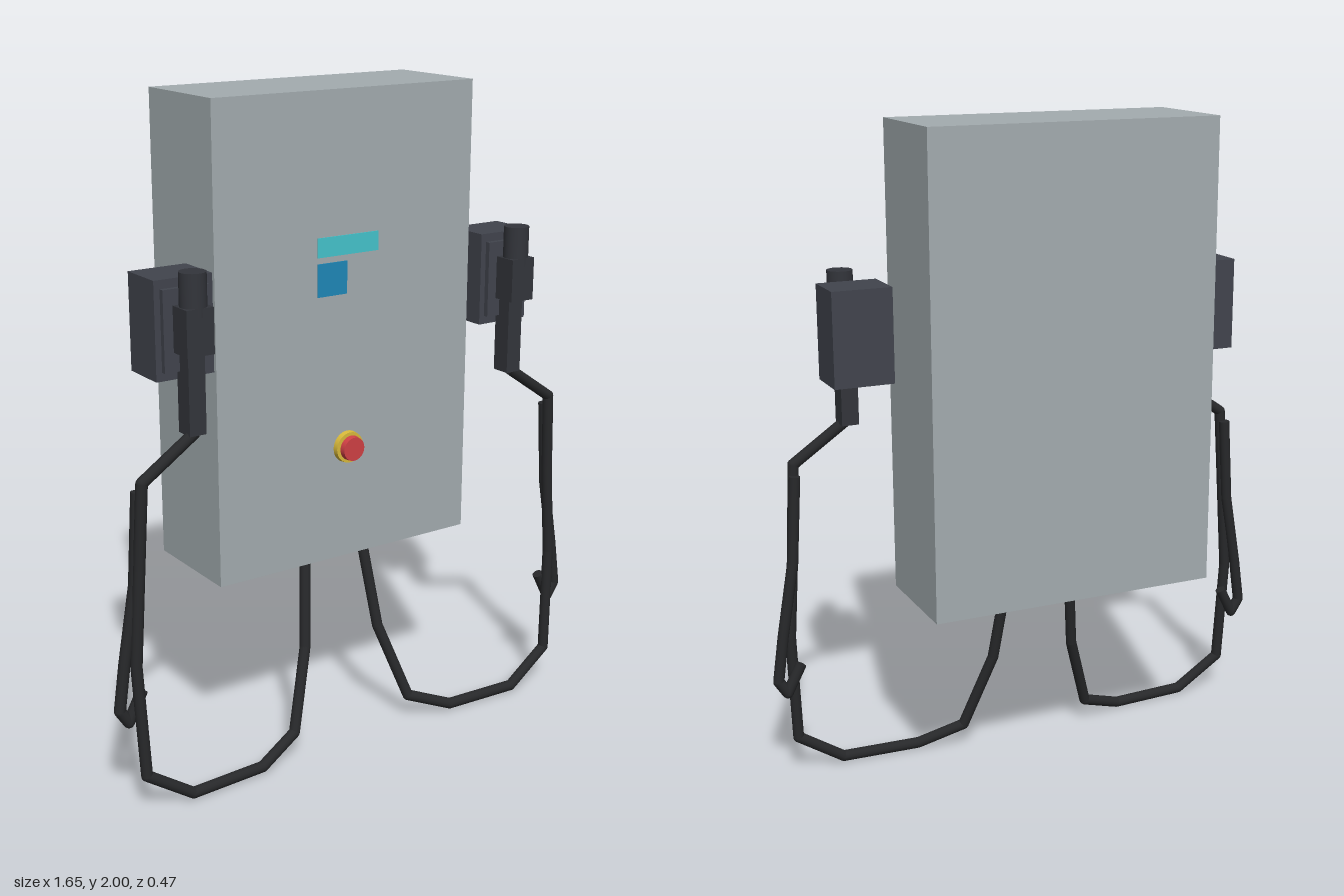
import * as THREE from 'three';

const paint = (color) => new THREE.MeshStandardMaterial({ color });
const cabinetGrey = paint(0xa3acaf);
const holderGrey = paint(0x41444d);
const gunGrey = paint(0x33353b);
const black = paint(0x27282a);
const CABLE_RADIUS = 0.017;

function add(parent, name, geometry, material, x = 0, y = 0, z = 0) {
  const mesh = new THREE.Mesh(geometry, material);
  mesh.name = name;
  mesh.position.set(x, y, z);
  parent.add(mesh);
  return mesh;
}

// Box given by its limits on each axis
function addBox(parent, name, [x0, x1], [y0, y1], [z0, z1], material) {
  return add(parent, name, new THREE.BoxGeometry(x1 - x0, y1 - y0, z1 - z0), material,
    (x0 + x1) / 2, (y0 + y1) / 2, (z0 + z1) / 2);
}

// Disc facing the front
function addDisc(parent, name, rBack, rFront, y, z0, z1, material) {
  const geometry = new THREE.CylinderGeometry(rFront, rBack, z1 - z0, 32).rotateX(Math.PI / 2);
  return add(parent, name, geometry, material, 0, y, (z0 + z1) / 2);
}

// Cable made of straight lengths with rounded joints
function addCable(parent, name, points) {
  const cable = new THREE.Group();
  cable.name = name;
  const path = points.map((p) => new THREE.Vector3(...p));
  const up = new THREE.Vector3(0, 1, 0);
  for (let i = 1; i < path.length; i++) {
    const run = path[i].clone().sub(path[i - 1]);
    const middle = path[i].clone().add(path[i - 1]).multiplyScalar(0.5);
    const length = new THREE.CylinderGeometry(CABLE_RADIUS, CABLE_RADIUS, run.length(), 12);
    add(cable, 'cableLength', length, black, ...middle)
      .quaternion.setFromUnitVectors(up, run.normalize());
    if (i < path.length - 1) {
      add(cable, 'cableJoint', new THREE.SphereGeometry(CABLE_RADIUS, 12, 8), black, ...path[i]);
    }
  }
  parent.add(cable);
}

// Holder, charging gun and cable for one side (s = 1 left, -1 right)
function chargingSide(s) {
  const side = new THREE.Group();
  side.name = s > 0 ? 'leftChargingSide' : 'rightChargingSide';
  const span = (a, b) => (s > 0 ? [a, b] : [-b, -a]);

  addBox(side, 'holderBox', span(0.47, 0.65), [1.26, 1.54], [-0.002, 0.142], holderGrey);
  addBox(side, 'holderPlate', span(0.488, 0.632), [1.285, 1.515], [0.142, 0.158], holderGrey);
  addBox(side, 'gunBody', span(0.519, 0.603), [1.34, 1.47], [0.15, 0.232], gunGrey);
  addBox(side, 'gunHandle', span(0.534, 0.586), [1.11, 1.35], [0.143, 0.204], gunGrey);
  add(side, 'gunNozzle', new THREE.CylinderGeometry(0.038, 0.038, 0.12, 24), gunGrey,
    s * 0.561, 1.505, 0.195);

  const mirrored = (points) => points.map(([x, y, z]) => [s * x, y, z]);
  addCable(side, 'mainCable', mirrored([
    [0.107, 0.585, 0.042], [0.137, 0.318, 0.085], [0.217, 0.075, 0.145], [0.357, 0.021, 0.185],
    [0.603, 0.021, 0.198], [0.748, 0.12, 0.19], [0.762, 0.46, 0.178], [0.742, 0.75, 0.178],
    [0.728, 1.0, 0.184], [0.56, 1.115, 0.186],
  ]));
  addCable(side, 'hangingCable', mirrored([
    [0.732, 0.97, 0.16], [0.75, 0.7, 0.16], [0.79, 0.47, 0.16], [0.81, 0.33, 0.16],
    [0.783, 0.288, 0.16], [0.738, 0.375, 0.16],
  ]));
  return side;
}

export function createModel() {
  const model = new THREE.Group();
  model.name = 'wallCharger';

  // Cabinet with its display panels
  addBox(model, 'cabinet', [-0.445, 0.445], [0.6, 2], [-0.232, 0.11], cabinetGrey);
  addBox(model, 'displayStrip', [-0.106, 0.106], [1.53, 1.587], [0.109, 0.113], paint(0x45c4cc));
  addBox(model, 'displayPanel', [-0.106, -0.004], [1.415, 1.512], [0.109, 0.113], paint(0x1f88b8));

  // Emergency stop button
  addDisc(model, 'buttonCollar', 0.049, 0.047, 0.948, 0.109, 0.126, paint(0xd8b93a));
  addDisc(model, 'buttonStem', 0.028, 0.028, 0.948, 0.126, 0.132, black);
  addDisc(model, 'buttonHead', 0.038, 0.036, 0.948, 0.13, 0.148, paint(0xcf4044));

  for (const s of [1, -1]) model.add(chargingSide(s));
  return model;
}
